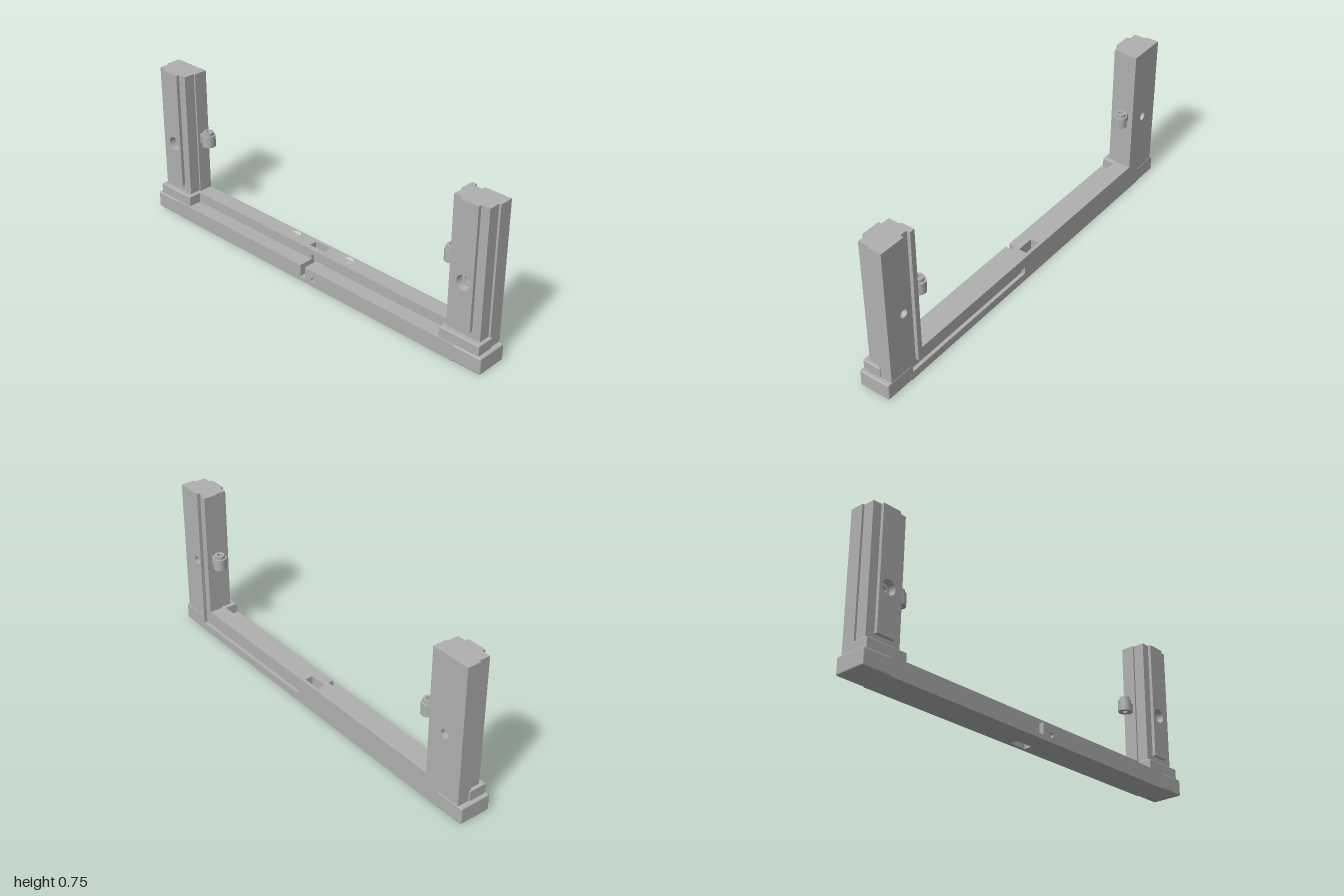
import * as THREE from 'three';
import { RoundedBoxGeometry } from 'three/addons/geometries/RoundedBoxGeometry.js';

export function createModel() {
  const model = new THREE.Group();
  model.name = 'uprightFrame';
  const grey = new THREE.MeshStandardMaterial({ color: 0xb0b0b0 });
  grey.name = 'plain grey';

  const add = (parent, name, geometry) => {
    const mesh = new THREE.Mesh(geometry, grey);
    mesh.name = name;
    parent.add(mesh);
    return mesh;
  };
  const group = (name) => {
    const g = new THREE.Group();
    g.name = name;
    model.add(g);
    return g;
  };
  const rect = (x0, x1, y0, y1) => [[x0, y0], [x1, y0], [x1, y1], [x0, y1]];
  const circle = ([x, y, r]) => new THREE.Path().absarc(x, y, r, 0, Math.PI * 2, true);

  // Outline with optional round holes, extruded
  const extrude = (points, depth, holes = []) => {
    const shape = new THREE.Shape(points.map(([x, y]) => new THREE.Vector2(x, y)));
    shape.holes.push(...holes.map(circle));
    return new THREE.ExtrudeGeometry(shape, { depth, bevelEnabled: false, curveSegments: 20 });
  };
  // Slab with its outline in x-y, from z0 to z1
  const slab = (parent, name, points, z0, z1, holes) =>
    add(parent, name, extrude(points, z1 - z0, holes).translate(0, 0, z0));
  // Slab with its outline in x-z, from y0 to y1
  const layer = (parent, name, points, y0, y1, holes = []) =>
    add(parent, name, extrude(points.map(([x, z]) => [x, -z]), y1 - y0, holes.map(([x, z, r]) => [x, -z, r]))
      .rotateX(-Math.PI / 2).translate(0, y0, 0));
  const roundedBox = (parent, name, x0, x1, y0, y1, z0, z1, r) =>
    add(parent, name, new RoundedBoxGeometry(x1 - x0, y1 - y0, z1 - z0, 3, r)
      .translate((x0 + x1) / 2, (y0 + y1) / 2, (z0 + z1) / 2));

  const BACK = -0.077, FRONT = 0.077, GROOVE = -0.06, TOP = 0.745;
  const BASE_X = 0.86, BASE_Y = 0.08, TIER_Y = 0.13;

  // Base beam, with cable groove behind, slot through and notch in front
  const base = group('base');
  slab(base, 'baseBack', [
    [-BASE_X, 0], [BASE_X, 0], [BASE_X, BASE_Y], [0.847, BASE_Y], [0.847, 0.04], [0.077, 0.04],
    [0.077, 0.075], [0.81, 0.075], [0.81, BASE_Y], [-BASE_X, BASE_Y],
  ], BACK, GROOVE);
  slab(base, 'baseCoreRight', rect(-BASE_X, -0.048, 0, BASE_Y), GROOVE, -0.02);
  slab(base, 'baseCoreLeft', rect(0.043, BASE_X, 0, BASE_Y), GROOVE, -0.02);
  slab(base, 'baseMiddle', rect(-BASE_X, BASE_X, 0, BASE_Y), -0.02, -0.01);
  const notched = [
    [-BASE_X, 0], [BASE_X, 0], [BASE_X, BASE_Y], [0.014, BASE_Y], [0.014, 0.022],
    [-0.014, 0.022], [-0.014, BASE_Y], [-BASE_X, BASE_Y],
  ];
  slab(base, 'baseInnerFront', notched, -0.01, 0.05);
  slab(base, 'baseFront', notched, 0.05, FRONT, [[0.065, 0.035, 0.012]]);

  // Raised rear step with two round sockets, the slot and the top of the notch
  const stepFront = 0.005, stepX = 0.79;
  const sockets = [[-0.165, -0.04, 0.028], [0.165, -0.04, 0.028]];
  const step = group('rearStep');
  const stepParts = [[BASE_Y, 0.105, true], [0.105, TIER_Y, false]];
  for (const [y0, y1, hasNotch] of stepParts) {
    const notch = hasNotch
      ? [[0.014, stepFront], [0.014, -0.01], [-0.014, -0.01], [-0.014, stepFront]] : [];
    const outline = [[-stepX, BACK], [stepX, BACK], [stepX, stepFront], ...notch, [-stepX, stepFront]];
    const mesh = layer(step, 'stepLayer', outline, y0, y1, sockets);
    const shape = new THREE.Shape(outline.map(([x, z]) => new THREE.Vector2(x, -z)));
    const slot = rect(-0.048, 0.043, 0.02, 0.06).map(([x, y]) => new THREE.Vector2(x, y));
    shape.holes.push(...sockets.map(([x, z, r]) => circle([x, -z, r])), new THREE.Path(slot));
    mesh.geometry = new THREE.ExtrudeGeometry(shape, { depth: y1 - y0, bevelEnabled: false, curveSegments: 20 })
      .rotateX(-Math.PI / 2).translate(0, y0, 0);
  }

  for (const s of [-1, 1]) {
    const side = s > 0 ? 'left' : 'right';
    const span = (a, b, y0, y1) => rect(Math.min(s * a, s * b), Math.max(s * a, s * b), y0, y1);
    const box = (parent, name, a, b, ...rest) =>
      roundedBox(parent, name, Math.min(s * a, s * b), Math.max(s * a, s * b), ...rest);

    // Rounded end of the base and the foot around the post
    box(base, side + 'BaseEnd', 0.852, 1, 0, BASE_Y, BACK, FRONT, 0.007);
    box(base, side + 'PostFoot', 0.775, 0.982, BASE_Y - 0.01, TIER_Y, -0.02, 0.07, 0.005);

    // Stepped post with a screw hole; the left one has a cable groove behind
    const post = group(side + 'Post');
    const hole = [[s * 0.877, 0.38, 0.02]];
    const bore = [[s * 0.877, 0.38, 0.034]];
    if (s > 0) {
      slab(post, 'postBackRib', span(0.785, 0.81, BASE_Y, TOP), BACK, GROOVE);
      slab(post, 'postBack', span(0.847, 0.977, BASE_Y, TOP), BACK, GROOVE, hole);
    } else {
      slab(post, 'postBack', span(0.785, 0.977, BASE_Y, TOP), BACK, GROOVE, hole);
    }
    slab(post, 'postCore', span(0.785, 0.977, BASE_Y, TOP), GROOVE, -0.01, hole);
    slab(post, 'postInnerFront', span(0.793, 0.967, BASE_Y, TOP), -0.01, 0.025, hole);
    slab(post, 'postFront', span(0.793, 0.967, BASE_Y, TOP), 0.025, 0.045, bore);
    slab(post, 'postFaceStrip', span(0.834, 0.925, 0.165, TOP), 0.045, 0.061, bore);

    // Hinge knuckle on the inner side
    const hinge = group(side + 'Hinge');
    const profile = [
      [0, 0.41], [0.012, 0.41], [0.012, 0.385], [0.032, 0.385], [0.032, 0.441],
      [0.024, 0.441], [0.024, 0.458], [0.013, 0.458], [0.013, 0.44], [0, 0.44],
    ];
    // Each profile edge is its own ring so that the rims stay sharp
    for (let i = 0; i < profile.length - 1; i++) {
      const edge = [profile[i], profile[i + 1]].map(([r, y]) => new THREE.Vector2(r, y));
      add(hinge, 'hingeKnuckle', new THREE.LatheGeometry(edge, 28)).position.set(s * 0.738, 0, -0.038);
    }
    slab(hinge, 'hingeArm', span(0.762, 0.79, 0.39, 0.436), -0.052, -0.024);
  }
  return model;
}
